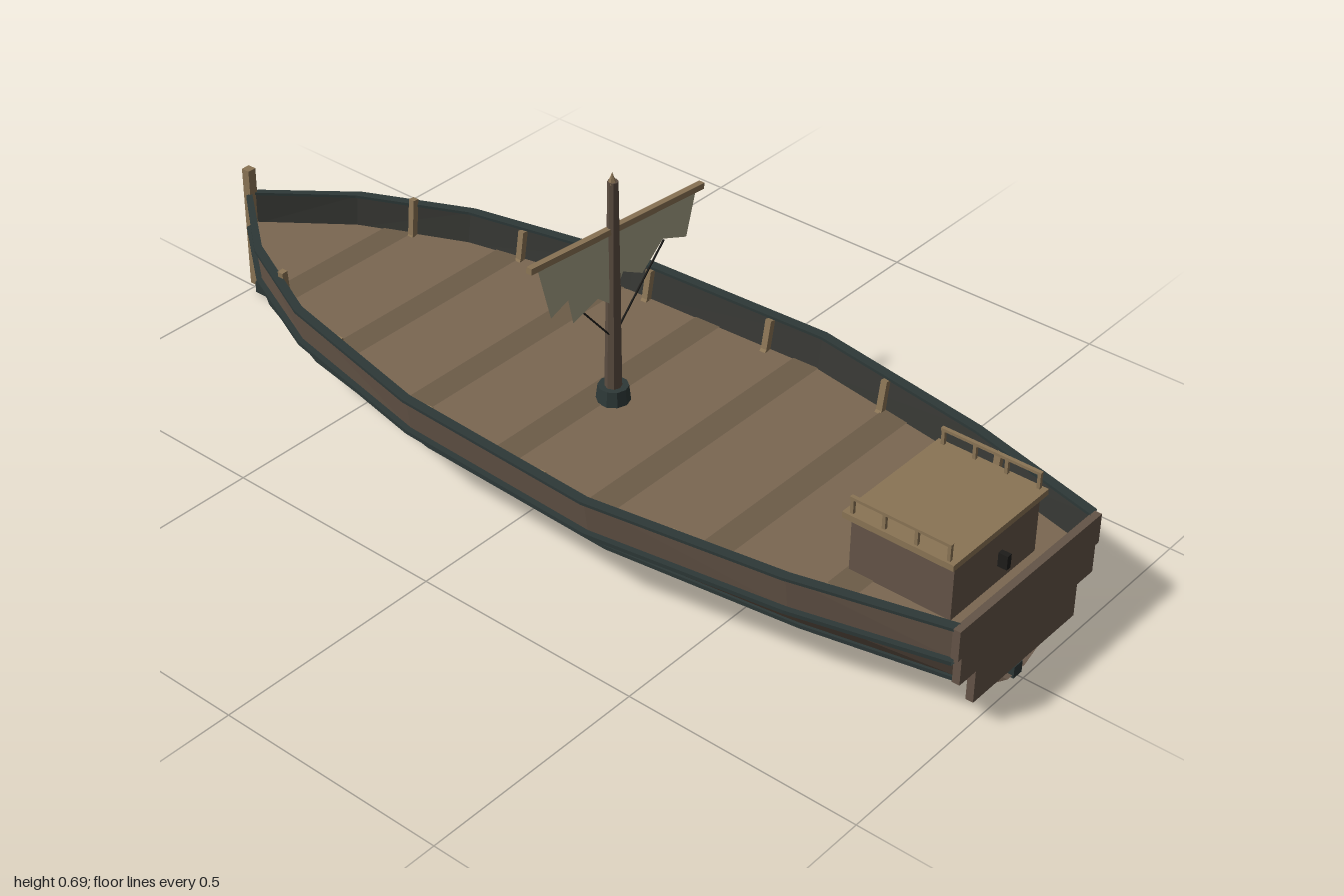
import * as THREE from 'three';

const mat = (color) => new THREE.MeshStandardMaterial({ color, flatShading: true, side: THREE.DoubleSide });
const HULL = mat(0x645447), DECK = mat(0x7a6751), BAND = mat(0x6c5c48), TAN = mat(0x8a7455),
  DARK = mat(0x2d3837), INNER = mat(0x363733), MAST = mat(0x5c4d41), SAIL = mat(0xa5a186), BLACK = mat(0x1d1c1a);

// Half breadth at the rail for each station [z, halfWidth], bow to stern
const STATIONS = [[-0.985, 0.008], [-0.81, 0.148], [-0.58, 0.255], [-0.2, 0.338], [0.27, 0.36], [0.68, 0.295], [0.985, 0.215]];
// Section levels [y, share of the rail breadth], keel to rail
const LEVELS = [[0.006, 0.13], [0.04, 0.47], [0.1, 0.81], [0.164, 0.965], [0.24, 1]];
const DECK_Y = 0.17;

function breadth(z) {
  for (let i = 1; i < STATIONS.length; i++) {
    const [z0, w0] = STATIONS[i - 1], [z1, w1] = STATIONS[i];
    if (z <= z1) return w0 + (w1 - w0) * Math.max(0, (z - z0) / (z1 - z0));
  }
  return STATIONS[STATIONS.length - 1][1];
}

// Skin through cross-sections given as lists of [x, y, z]
function loft(rings, closed = false) {
  const pos = [];
  for (let i = 0; i + 1 < rings.length; i++) {
    const a = rings[i], b = rings[i + 1], n = a.length;
    for (let j = 0; j < (closed ? n : n - 1); j++) {
      const k = (j + 1) % n;
      pos.push(...a[j], ...b[j], ...b[k], ...a[j], ...b[k], ...a[k]);
    }
  }
  const g = new THREE.BufferGeometry();
  g.setAttribute('position', new THREE.Float32BufferAttribute(pos, 3));
  g.computeVertexNormals();
  return g;
}

export function createModel() {
  const ship = new THREE.Group();
  ship.name = 'sailingBarge';

  const add = (name, geometry, material, parent = ship) => {
    const m = new THREE.Mesh(geometry, material);
    m.name = name;
    parent.add(m);
    return m;
  };
  const box = (name, material, w, h, d, x, y, z, parent) => {
    const m = add(name, new THREE.BoxGeometry(w, h, d), material, parent);
    m.position.set(x, y, z);
    return m;
  };
  // Square timber between two points
  const beam = (name, material, a, b, w, d = w, parent = ship) => {
    const p = new THREE.Vector3(...a), q = new THREE.Vector3(...b);
    const m = box(name, material, w, d, p.distanceTo(q), ...p.clone().add(q).multiplyScalar(0.5).toArray(), parent);
    m.lookAt(q);
    return m;
  };
  const group = (name) => {
    const g = new THREE.Group();
    g.name = name;
    ship.add(g);
    return g;
  };

  // Planked hull shell, open under the stern
  add('hull', loft(STATIONS.map(([z, w], i) => {
    const half = LEVELS.map(([y, k], l) => [w * k, i === 0 && l === 0 ? 0.02 : y, z]);
    return [...half.map(([x, y]) => [-x, y, z]).reverse(), ...half];
  })), HULL);

  // Rail, wales and inner bulwark on both sides
  const trim = group('trim');
  for (const s of [-1, 1]) {
    const strip = (name, level, h, out, inn, m) => {
      const [y, k] = LEVELS[level];
      add(name, loft(STATIONS.map(([z, w]) => {
        const xo = s * (w * k + out), xi = s * Math.max(0, w * k - inn);
        return [[xo, y - h, z], [xo, y + h, z], [xi, y + h, z], [xi, y - h, z]];
      }), true), m, trim);
    };
    strip('rail', 4, 0.003, 0.009, 0.012, DARK);
    strip('upperWale', 3, 0.004, 0.014, 0.002, DARK);
    strip('lowerWale', 2, 0.004, 0.009, 0.002, DARK);
    add('bulwarkLining', loft(STATIONS.map(([z, w]) => [
      [s * Math.max(0, w * 0.965 - 0.006), 0.164, z], [s * Math.max(0, w - 0.006), 0.239, z]])), INNER, trim);
  }

  // Deck with darker cross bands
  const deckLine = (z, y) => [[-breadth(z) * 0.963, y, z], [breadth(z) * 0.963, y, z]];
  add('deck', loft(STATIONS.map(([z]) => deckLine(z, DECK_Y))), DECK);
  const bands = group('deckBands');
  for (let i = 0; i < 7; i++) {
    const z = -0.725 + i * 0.2417;
    add('deckBand', loft([deckLine(z - 0.03, DECK_Y + 0.002), deckLine(z + 0.03, DECK_Y + 0.002)]), BAND, bands);
  }

  // Frames inside the hull
  const ribs = group('ribs');
  for (const z of [-0.69, -0.45, -0.15, 0.15, 0.45, 0.75]) {
    for (const s of [-1, 1]) {
      const pts = LEVELS.map(([y, k]) => [s * (breadth(z) * k - 0.013), y + 0.008, z]);
      if (z > -0.6) pts[4][1] = 0.236;
      else pts[4][1] = 0.256;
      for (let i = 1; i < pts.length; i++) beam('rib', TAN, pts[i - 1], pts[i], 0.014, 0.014, ribs);
    }
  }

  // Keel, stem post and stern post
  box('keel', DARK, 0.026, 0.026, 1.97, 0, 0.013, 0.003);
  box('stemPost', TAN, 0.02, 0.285, 0.02, 0, 0.158, -0.99);
  box('sternPost', TAN, 0.008, 0.14, 0.012, 0, 0.1, 0.975);

  // Stepped transom
  const transom = group('transom');
  for (const [half, y0, y1] of [[0.16, 0.045, 0.116], [0.21, 0.116, 0.176], [0.221, 0.176, 0.24]]) {
    box('transomPlank', HULL, half * 2, y1 - y0, 0.016, 0, (y0 + y1) / 2, 0.99, transom);
  }

  // Deckhouse with door, windows and roof rails
  const cabin = group('cabin');
  box('cabinWalls', HULL, 0.264, 0.12, 0.22, 0, 0.23, 0.81, cabin);
  box('cabinRoof', TAN, 0.294, 0.013, 0.238, 0, 0.296, 0.808, cabin);
  box('door', MAST, 0.046, 0.086, 0.008, 0, 0.213, 0.699, cabin);
  box('doorGap', BLACK, 0.01, 0.08, 0.012, 0, 0.212, 0.699, cabin);
  box('tiller', BLACK, 0.012, 0.03, 0.02, 0, 0.235, 0.938, cabin);
  for (const s of [-1, 1]) {
    box('windowFrame', MAST, 0.04, 0.042, 0.008, s * 0.078, 0.238, 0.699, cabin);
    box('window', BLACK, 0.024, 0.028, 0.012, s * 0.078, 0.238, 0.699, cabin);
    for (let i = 0; i < 4; i++) box('railPost', TAN, 0.007, 0.036, 0.007, s * 0.138, 0.319, 0.705 + i * 0.069, cabin);
    box('roofRail', TAN, 0.008, 0.006, 0.216, s * 0.138, 0.335, 0.808, cabin);
  }

  // Leaning mast with collar, splint and broken tip
  const rig = group('rig');
  const foot = new THREE.Vector3(0, 0.165, 0.032), head = new THREE.Vector3(-0.016, 0.67, 0.043);
  const mast = add('mast', new THREE.CylinderGeometry(0.0105, 0.018, foot.distanceTo(head), 8), MAST, rig);
  mast.position.copy(foot).add(head).multiplyScalar(0.5);
  mast.quaternion.setFromUnitVectors(new THREE.Vector3(0, 1, 0), head.clone().sub(foot).normalize());
  const tip = add('brokenTip', new THREE.ConeGeometry(0.009, 0.024, 5), TAN, rig);
  tip.position.set(-0.018, 0.678, 0.043);
  beam('mastSplint', MAST, [0.012, 0.17, 0.034], [0.003, 0.43, 0.038], 0.011, 0.012, rig);
  const collar = add('mastCollar', new THREE.CylinderGeometry(0.031, 0.035, 0.034, 10), DARK, rig);
  collar.position.set(0, 0.186, 0.032);

  // Sloping yard, torn sail and sheets
  beam('yard', TAN, [-0.241, 0.577, 0.036], [0.248, 0.546, 0.042], 0.013, 0.013, rig);
  const torn = new THREE.Shape([
    [-0.222, 0.572], [-0.187, 0.45], [-0.139, 0.467], [-0.125, 0.409], [-0.055, 0.43], [-0.015, 0.398],
    [0.018, 0.456], [0.075, 0.426], [0.135, 0.475], [0.206, 0.447], [0.234, 0.544],
  ].map(([x, y]) => new THREE.Vector2(x, y)));
  add('sail', new THREE.ShapeGeometry(torn), SAIL, rig).position.z = 0.04;
  beam('sheet', BLACK, [-0.095, 0.417, 0.04], [-0.005, 0.315, 0.036], 0.003, 0.003, rig);
  beam('sheet', BLACK, [0.138, 0.472, 0.04], [0, 0.322, 0.036], 0.003, 0.003, rig);

  return ship;
}
